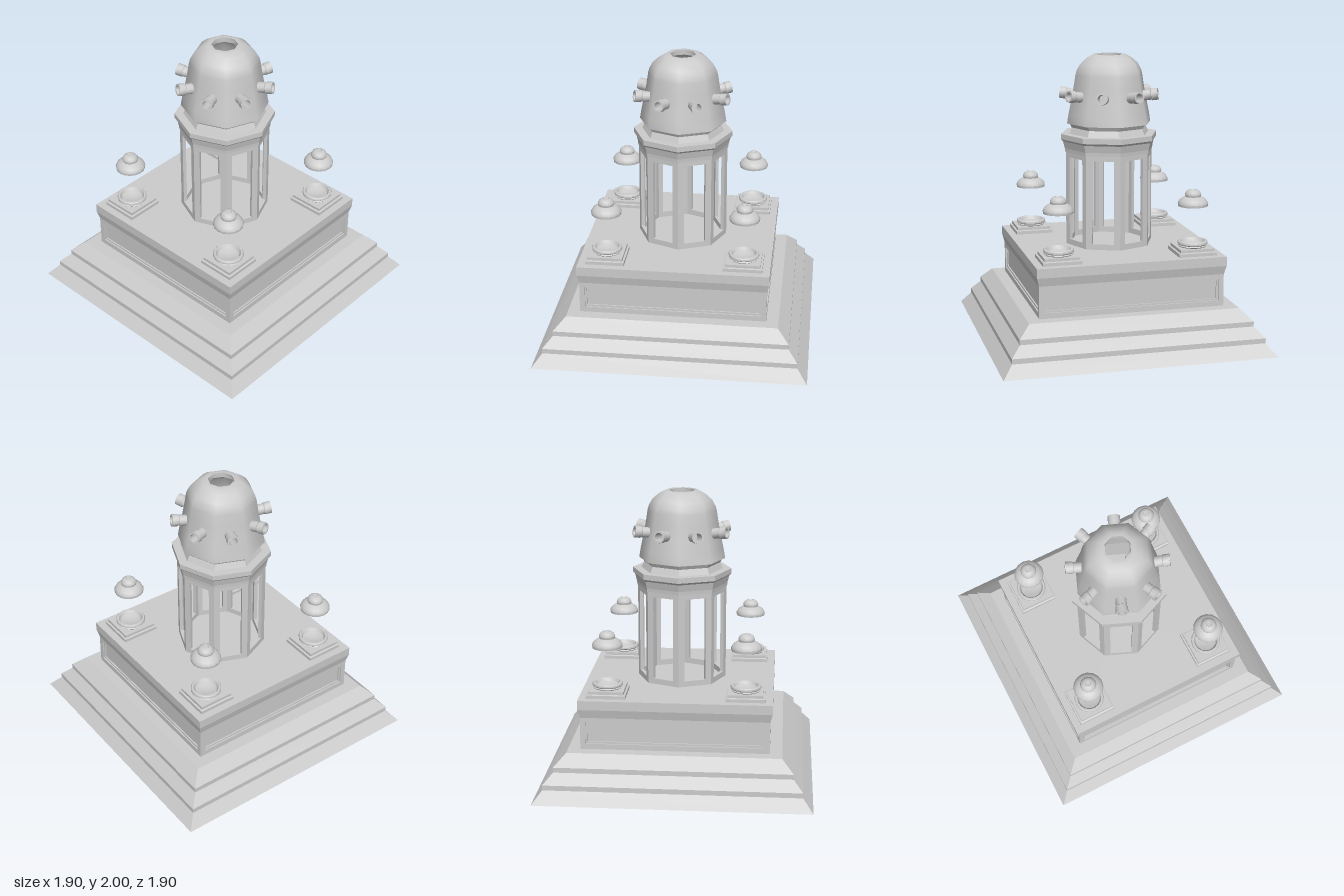
import * as THREE from 'three';
import { toCreasedNormals } from 'three/addons/utils/BufferGeometryUtils.js';

const material = new THREE.MeshStandardMaterial({ color: 0xcccccc });

function addMesh(parent, name, geometry) {
  const mesh = new THREE.Mesh(geometry, material);
  mesh.name = name;
  parent.add(mesh);
  return mesh;
}

// Profile of [radius, height] pairs turned around y; crease is the largest angle kept smooth.
function turned(profile, sides, crease = 0.1) {
  const points = profile.map(([r, y]) => new THREE.Vector2(r, y));
  return toCreasedNormals(new THREE.LatheGeometry(points, sides), crease);
}

// Four-sided profile, given as half-widths, with its sides along x and z.
function square(profile) {
  return turned(profile.map(([h, y]) => [h * Math.SQRT2, y]), 4).rotateY(Math.PI / 4);
}

// Upright rectangular frame around an opening, extruded towards +z.
function frame(width, y0, y1, openWidth, open0, open1, depth) {
  const w = width / 2, o = openWidth / 2;
  const shape = new THREE.Shape([[-w, y0], [w, y0], [w, y1], [-w, y1]].map(p => new THREE.Vector2(...p)));
  shape.holes.push(new THREE.Path([[-o, open0], [-o, open1], [o, open1], [o, open0]].map(p => new THREE.Vector2(...p))));
  return new THREE.ExtrudeGeometry(shape, { depth, bevelEnabled: false });
}

export function createModel() {
  const model = new THREE.Group();
  model.name = 'lanternMonument';

  // Stepped base with sloping treads
  addMesh(model, 'steppedBase', square([
    [0, 0], [0.95, 0], [0.88, 0.085], [0.88, 0.12], [0.815, 0.19],
    [0.815, 0.225], [0.735, 0.305], [0, 0.305],
  ]));

  // Pedestal block with one recessed panel per side
  addMesh(model, 'pedestalCore', square([[0.63, 0.305], [0.63, 0.53]]));
  for (let i = 0; i < 4; i++) {
    const side = new THREE.Group();
    side.name = 'pedestalSide';
    side.rotation.y = i * Math.PI / 2;
    model.add(side);
    addMesh(side, 'panelSurround', frame(1.3, 0.305, 0.53, 1.226, 0.343, 0.497, 0.02)).position.z = 0.63;
    addMesh(side, 'panelMoulding', frame(1.226, 0.343, 0.497, 1.2, 0.356, 0.484, 0.01)).position.z = 0.63;
  }
  addMesh(model, 'pedestalCap', square([
    [0, 0.53], [0.65, 0.53], [0.665, 0.59], [0.665, 0.655], [0, 0.655],
  ]));

  // Eight-sided lantern of open window frames, with corners on the axes
  const radius = 0.315;
  const faceWidth = 2 * radius * Math.sin(Math.PI / 8);
  const apothem = radius * Math.cos(Math.PI / 8);
  for (let i = 0; i < 8; i++) {
    const face = addMesh(model, 'windowFrame', frame(faceWidth, 0.655, 1.33, 0.155, 0.695, 1.285, 0.025));
    face.rotation.y = (i + 0.5) * Math.PI / 4;
    face.translateZ(apothem - 0.025);
  }

  // Cornice and neck
  addMesh(model, 'cornice', turned([
    [0.285, 1.32], [0.32, 1.32], [0.322, 1.345], [0.335, 1.395], [0.35, 1.41],
    [0.35, 1.447], [0.25, 1.447], [0.25, 1.32], [0.285, 1.32],
  ], 8));
  addMesh(model, 'neck', turned([
    [0.25, 1.445], [0.29, 1.445], [0.27, 1.49], [0.29, 1.525], [0.25, 1.525], [0.25, 1.445],
  ], 8));

  // Hollow dome, open at the crown
  addMesh(model, 'dome', turned([
    [0.25, 1.52], [0.305, 1.52], [0.293, 1.59], [0.276, 1.67], [0.257, 1.77], [0.243, 1.86],
    [0.235, 1.89], [0.21, 1.935], [0.165, 1.975], [0.12, 2], [0.09, 2],
    [0.09, 1.965], [0.14, 1.945], [0.2, 1.88], [0.23, 1.75], [0.25, 1.52],
  ], 8, 0.9));

  // Ring of short pipes tilted slightly upwards
  for (let i = 0; i < 8; i++) {
    const holder = new THREE.Group();
    holder.name = 'domePipe';
    holder.rotation.y = (i + 0.5) * Math.PI / 4;
    model.add(holder);
    const pipe = addMesh(holder, 'pipe', turned([
      [0.037, 0], [0.037, 0.075], [0.042, 0.08], [0.042, 0.125], [0.03, 0.125], [0.03, 0],
    ], 12, 0.7));
    pipe.position.set(0, 1.71, 0.225);
    pipe.rotation.x = Math.PI / 2 - 0.14;
  }

  // Corner urns: square plinth, round dish and a lid floating above
  for (const x of [-0.477, 0.477]) {
    for (const z of [-0.477, 0.477]) {
      const urn = new THREE.Group();
      urn.name = 'cornerUrn';
      urn.position.set(x, 0, z);
      model.add(urn);
      addMesh(urn, 'plinth', square([
        [0.135, 0.65], [0.135, 0.678], [0.122, 0.682], [0.122, 0.702], [0, 0.702],
      ]));
      addMesh(urn, 'dish', turned([
        [0.095, 0.7], [0.103, 0.708], [0.098, 0.715], [0.106, 0.722], [0.106, 0.735],
        [0.1, 0.742], [0.088, 0.742], [0.075, 0.72], [0.04, 0.708], [0, 0.705],
      ], 16, 0.7));
      addMesh(urn, 'lid', turned([
        [0, 1.045], [0.05, 1.04], [0.08, 1.015], [0.093, 0.987], [0.103, 0.987], [0.106, 1.005],
        [0.095, 1.027], [0.075, 1.043], [0.053, 1.052], [0.057, 1.068], [0.048, 1.087],
        [0.033, 1.098], [0.02, 1.1], [0.017, 1.094], [0, 1.094],
      ], 16, 0.7));
    }
  }

  return model;
}
